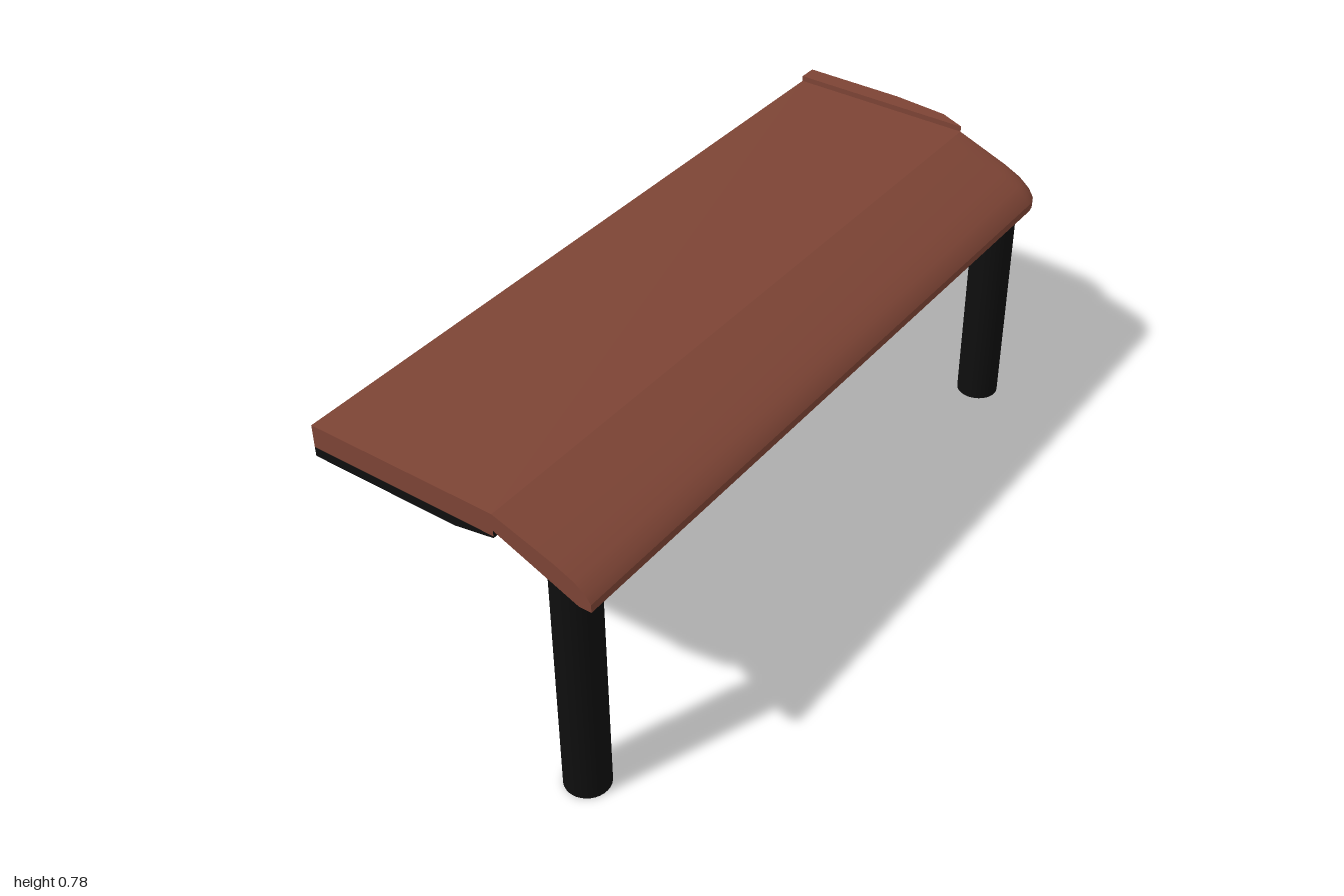
import * as THREE from 'three';
import { toCreasedNormals } from 'three/addons/utils/BufferGeometryUtils.js';

const paint = (color) => new THREE.MeshStandardMaterial({ color, side: THREE.DoubleSide });
const BACK = -0.383, FRONT = 0.13, LEFT_END = 0.95;

// Thin shell through open cross-sections: each is { z, pts: [[x, y], ...] }
function shell(sections) {
  const pos = [], index = [];
  const n = sections[0].pts.length;
  for (const { z, pts } of sections) for (const [x, y] of pts) pos.push(x, y, z);
  for (let s = 0; s < sections.length - 1; s++) {
    for (let i = 0; i < n - 1; i++) {
      const a = s * n + i, b = a + n;
      index.push(a, a + 1, b, a + 1, b + 1, b);
    }
  }
  const g = new THREE.BufferGeometry();
  g.setAttribute('position', new THREE.Float32BufferAttribute(pos, 3));
  g.setIndex(index);
  const flat = g.toNonIndexed();
  flat.computeVertexNormals();
  return flat;
}

// Sloping front lip: profile run along x, its left front corner rounded off
function lipGeometry() {
  const profile = [[0.13, 0.72], [0.35, 0.627], [0.383, 0.627], [0.383, 0.648],
    [0.37, 0.667], [0.342, 0.688], [0.29, 0.711], [0.13, 0.765]];
  const shape = new THREE.Shape(profile.map(([z, y]) => new THREE.Vector2(z, y)));
  const steps = 7, round = 0.06, inset = 0.033;
  const g = new THREE.ExtrudeGeometry(shape, { depth: 1, steps, bevelEnabled: false });
  const p = g.attributes.position;
  for (let i = 0; i < p.count; i++) {
    const k = Math.round(p.getZ(i) * steps);
    const angle = (k / (steps - 1)) * Math.PI / 2;
    const along = k === steps ? 1 + LEFT_END : round * (1 - Math.cos(angle));
    const cut = k === steps ? 0 : inset * (1 - Math.sin(angle));
    const z = p.getX(i), y = p.getY(i);
    const underside = y < 0.63 && z < 0.36;
    const pull = underside ? 0 : cut * (z - FRONT) / (0.383 - FRONT);
    p.setXYZ(i, LEFT_END - along, y, z - pull);
  }
  // Axes were swapped, so reverse the winding to keep faces outward
  for (let i = 0; i < p.count; i += 3) {
    const a = new THREE.Vector3().fromBufferAttribute(p, i);
    const b = new THREE.Vector3().fromBufferAttribute(p, i + 1);
    p.setXYZ(i, b.x, b.y, b.z);
    p.setXYZ(i + 1, a.x, a.y, a.z);
  }
  g.deleteAttribute('uv');
  g.deleteAttribute('normal');
  g.computeVertexNormals();
  return toCreasedNormals(g, 0.55);
}

export function createModel() {
  const group = new THREE.Group();
  const brown = paint(0x7d4435), black = paint(0x0e0e0e), red = paint(0x8e1a1c);
  const add = (name, geometry, material) => {
    const mesh = new THREE.Mesh(geometry, material);
    mesh.name = name;
    group.add(mesh);
    return mesh;
  };

  // Deck, hollow and open at the back
  const deck = [[-1, 0.705], [-1, 0.765], [LEFT_END, 0.765], [LEFT_END, 0.705]];
  add('deck', shell([{ z: BACK, pts: deck }, { z: FRONT, pts: deck }]), brown);
  add('frontLip', lipGeometry(), brown);

  // Underside tray, its front sloping up to the deck
  const tray = (z, y) => ({ z, pts: [[-1, 0.705], [-1, y], [LEFT_END, y], [LEFT_END, 0.705]] });
  add('undersideTray', shell([tray(BACK, 0.68), tray(0.02, 0.68), tray(FRONT, 0.7), tray(FRONT, 0.72)]), black);

  // Side rail: open channel with a recessed strip, tapering at the front
  const stations = [[BACK, 1, 0.01], [-0.1, 1, 0.01], [0.057, 0.985, 0.01], [0.057, 0.985, 0], [FRONT, 0.952, 0]];
  add('sideRail', shell(stations.map(([z, o, d]) => ({
    z,
    pts: [[o - d, 0.72], [o, 0.72], [o, 0.705], [LEFT_END, 0.705],
      [LEFT_END, 0.78], [o, 0.78], [o, 0.76], [o - d, 0.76]],
  }))), brown);
  const band = ([z, o, d]) => ({ z, pts: [[o - d, 0.72], [o - d, 0.76]] });
  add('railStrip', shell(stations.slice(0, 4).map(band)), red);
  add('railNose', shell(stations.slice(3).map(band)), brown);

  // Front legs, running up into the lip
  for (const [name, x] of [['rightLeg', -0.932], ['leftLeg', 0.891]]) {
    const leg = add(name, new THREE.CylinderGeometry(0.057, 0.057, 0.675, 32), black);
    leg.position.set(x, 0.3375, 0.286);
  }
  return group;
}
